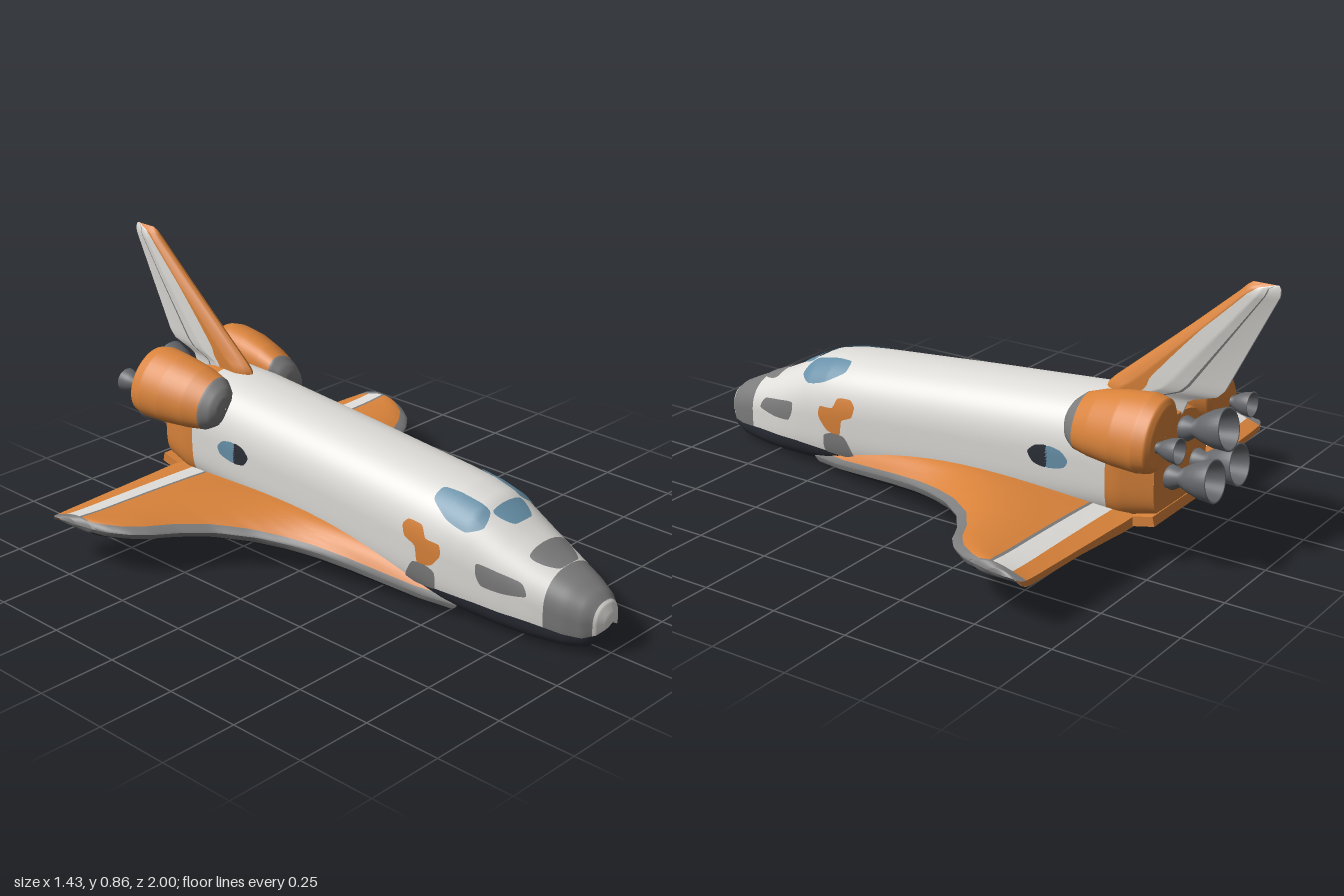
import * as THREE from 'three';

const mat = (name, color) => {
  const m = new THREE.MeshStandardMaterial({ color, side: THREE.DoubleSide });
  m.name = name;
  return m;
};
const lerp = THREE.MathUtils.lerp;

// Interpolates a table whose first column rises
function row(table, k) {
  let i = 0;
  while (i < table.length - 2 && k > table[i + 1][0]) i++;
  const a = table[i], b = table[i + 1];
  const t = THREE.MathUtils.clamp((k - a[0]) / (b[0] - a[0]), 0, 1);
  return a.map((v, j) => lerp(v, b[j], t));
}

// A surface from a rule f(u, v) -> [x, y, z]
function surface(name, material, nu, nv, f) {
  const g = new THREE.PlaneGeometry(1, 1, nu, nv), p = g.attributes.position;
  for (let i = 0; i < p.count; i++) p.setXYZ(i, ...f(p.getX(i) + 0.5, p.getY(i) + 0.5));
  g.computeVertexNormals();
  const m = new THREE.Mesh(g, material);
  m.name = name;
  return m;
}

// Hull sections: z, half width, bottom, belly edge, widest height, top
const HULL = [
  [-0.71, 0.155, 0.13, 0.135, 0.27, 0.43], [-0.6, 0.178, 0.105, 0.115, 0.28, 0.462],
  [-0.45, 0.178, 0.092, 0.11, 0.27, 0.458], [0, 0.178, 0.06, 0.085, 0.24, 0.422],
  [0.4, 0.178, 0.025, 0.08, 0.205, 0.387], [0.5, 0.176, 0.016, 0.085, 0.19, 0.376],
  [0.58, 0.168, 0.01, 0.085, 0.18, 0.358], [0.62, 0.163, 0.008, 0.085, 0.17, 0.335],
  [0.7, 0.15, 0.004, 0.08, 0.15, 0.292], [0.8, 0.128, 0.002, 0.075, 0.13, 0.245],
  [0.9, 0.1, 0.008, 0.062, 0.11, 0.203], [0.95, 0.078, 0.02, 0.06, 0.1, 0.178],
  [0.98, 0.052, 0.045, 0.07, 0.1, 0.153], [0.995, 0.025, 0.075, 0.085, 0.1, 0.125],
  [1, 0.002, 0.098, 0.099, 0.1, 0.102],
];
const NT = 2.3, NB = 4; // roundness of the upper and lower halves
function hull(z, a) {
  const [, w, yb, , ym, yt] = row(HULL, z);
  const n = a < 0 || a > Math.PI ? NB : NT, c = Math.cos(a), s = Math.abs(Math.sin(a));
  return [w * Math.sign(c) * Math.abs(c) ** (2 / n), ym + ((n === NB ? yb : yt) - ym) * s ** (2 / n), z];
}
function bellyAngle(z) {
  const [, , yb, yc, ym] = row(HULL, z);
  return Math.asin(((ym - yc) / (ym - yb)) ** (NB / 2));
}
// Projections of plate outlines on to the hull, from the side and from above
function onSide(z, y) {
  const [, w, yb, , ym, yt] = row(HULL, z), n = y < ym ? NB : NT;
  const r = Math.min(1, (y - ym) / ((y < ym ? yb : yt) - ym));
  return [w * (1 - r ** n) ** (1 / n) + 0.004, y, z];
}
function onTop(x, z) {
  const [, w, , , ym, yt] = row(HULL, z), r = Math.min(1, Math.abs(x) / w);
  return [x, ym + (yt - ym) * (1 - r ** NT) ** (1 / NT) + 0.005, z];
}
function plate(name, material, pts, project) {
  const curve = new THREE.CatmullRomCurve3(pts.map(([a, b]) => new THREE.Vector3(a, b, 0)), true, 'catmullrom', 0.3);
  const ca = pts.reduce((s, p) => s + p[0], 0) / pts.length;
  const cb = pts.reduce((s, p) => s + p[1], 0) / pts.length;
  return surface(name, material, 40, 8, (u, v) => {
    const p = curve.getPoint(u % 1);
    return project(lerp(ca, p.x, v), lerp(cb, p.y, v));
  });
}

// Wing sections: x, leading z, trailing z, leading y, thickness factor
const WING = [
  [0.15, 0.55, -0.65, 0.045, 1], [0.178, 0.44, -0.65, 0.05, 1], [0.218, 0.2, -0.65, 0.075, 1],
  [0.245, 0.09, -0.648, 0.088, 1], [0.278, 0, -0.646, 0.098, 1], [0.33, -0.1, -0.644, 0.11, 1],
  [0.41, -0.2, -0.64, 0.122, 1], [0.5, -0.265, -0.636, 0.132, 1], [0.58, -0.305, -0.632, 0.14, 1],
  [0.63, -0.345, -0.63, 0.145, 1], [0.67, -0.4, -0.627, 0.148, 1], [0.69, -0.45, -0.625, 0.15, 0.9],
  [0.705, -0.51, -0.62, 0.152, 0.6], [0.713, -0.57, -0.61, 0.153, 0.05],
];
function wing(x, z, top) {
  const [, le, te, yl, k] = row(WING, x), t = THREE.MathUtils.clamp((le - z) / (le - te), 0, 1);
  const yTop = lerp(yl, 0.142, t) + (0.172 - (yl + 0.142) / 2) * Math.sin(Math.PI * t ** 0.75);
  const base = 0.058 - z * 0.08 + (x - 0.178) * 0.05;
  const yBot = Math.min(base + (yl - base) * Math.exp(-(le - z) / 0.025), yTop - 0.02 * Math.min(1, t * 8));
  return [x, 0.15 + ((top ? yTop : yBot) - 0.15) * k, z];
}
function wingStrip(name, material, top, x0, x1, za, zb) {
  return surface(name, material, 40, 14, (u, v) => {
    const x = lerp(x0, x1, top ? u : 1 - u), [, le, te] = row(WING, x);
    return wing(x, lerp(za(le, te), zb(le, te), v), top);
  });
}

// Fin sections: y, leading z, trailing z, half thickness, edge band share
const FIN = [
  [0.42, -0.45, -0.71, 0.03, 0.5], [0.47, -0.46, -0.73, 0.03, 0.45], [0.495, -0.485, -0.82, 0.03, 0.36],
  [0.52, -0.515, -0.845, 0.03, 0.3], [0.7, -0.73, -0.935, 0.026, 0.22], [0.83, -0.88, -1, 0.02, 0.25],
  [0.85, -0.9, -1, 0.014, 0.4], [0.86, -0.915, -0.995, 0.001, 0.9],
];
function finStrip(name, material, ta, tb) {
  return surface(name, material, 14, 40, (u, v) => {
    const y = lerp(0.42, 0.86, v), [, le, te, th, band] = row(FIN, y);
    const t = lerp(ta(band), tb(band), u);
    return [th * Math.min(1, Math.sqrt(t / 0.2)) * (t > 0.5 ? 1 - (t - 0.5) * 1.7 : 1), y, lerp(le, te, t)];
  });
}

// Pod sections: -z, centre x, centre y, long radius, short radius
const POD = [
  [0.42, 0.155, 0.395, 0.002, 0.002], [0.425, 0.155, 0.395, 0.04, 0.03], [0.44, 0.156, 0.396, 0.065, 0.046],
  [0.47, 0.158, 0.4, 0.088, 0.06], [0.53, 0.167, 0.408, 0.103, 0.072], [0.62, 0.178, 0.416, 0.115, 0.083],
  [0.7, 0.182, 0.42, 0.12, 0.086], [0.74, 0.183, 0.42, 0.112, 0.08], [0.755, 0.183, 0.42, 0.09, 0.06],
  [0.757, 0.183, 0.42, 0.001, 0.001],
];
const podStrip = (name, material, d0, d1, n) => surface(name, material, 40, n, (u, v) => {
  const d = lerp(d0, d1, v), [, cx, cy, a, b] = row(POD, d), q = -u * Math.PI * 2;
  const p = a * Math.cos(q), s = b * Math.sin(q);
  return [cx + 0.6 * p + 0.8 * s, cy - 0.8 * p + 0.6 * s, -d];
});

const BELL = [[0, 0], [0.03, 0], [0.038, 0.03], [0.026, 0.055], [0.042, 0.085], [0.056, 0.12], [0.065, 0.165],
  [0.058, 0.165], [0.045, 0.11], [0.02, 0.07], [0, 0.065]];
function nozzle(name, material, x, y, z, size, tilt) {
  const m = new THREE.Mesh(new THREE.LatheGeometry(BELL.map(([r, h]) => new THREE.Vector2(r * size, h * size)), 32), material);
  m.position.set(x, y, z);
  m.rotation.x = -Math.PI / 2 + tilt;
  m.name = name;
  return m;
}

export function createModel() {
  const white = mat('white shell', 0xdfddd9), orange = mat('orange panels', 0xd8823a);
  const grey = mat('grey edges', 0x7c7c7c), dark = mat('dark belly', 0x2c2f38);
  const blue = mat('blue glass', 0x6790a8), metal = mat('nozzle metal', 0x64666a);
  const model = new THREE.Group();

  // Hull in bands along its length, and the belly below them
  const shell = (name, m, z0, z1, n) => surface(name, m, 72, n, (u, v) => {
    const z = lerp(z0, z1, v), a = bellyAngle(z);
    return hull(z, lerp(-a, Math.PI + a, u));
  });
  model.add(
    shell('aftHull', orange, -0.71, -0.56, 8), shell('midHull', white, -0.56, 0.84, 90),
    shell('noseHull', grey, 0.84, 0.972, 12), shell('noseCap', white, 0.972, 1, 14),
    surface('belly', dark, 32, 140, (u, v) => {
      const z = lerp(-0.71, 1, v), a = bellyAngle(z);
      return hull(z, lerp(-Math.PI + a, -a, u));
    }),
    surface('aftBulkhead', orange, 64, 4, (u, v) => {
      const p = hull(-0.71, -Math.PI / 2 + u * Math.PI * 2);
      return [p[0] * v, lerp(0.28, p[1], v), -0.71 - 0.01 * (1 - v)];
    }),
  );

  // Body flap under the nozzles
  const flap = new THREE.Mesh(new THREE.BoxGeometry(0.33, 0.03, 0.12), orange);
  flap.position.set(0, 0.13, -0.66);
  flap.rotation.x = 0.22;
  flap.name = 'bodyFlap';
  model.add(flap);

  // Plates on the centre line
  model.add(
    plate('frontWindow', blue, [[-0.06, 0.605], [0.06, 0.605], [0.058, 0.64], [0.035, 0.67], [-0.035, 0.67], [-0.058, 0.64]], onTop),
    plate('nosePanel', grey, [[-0.075, 0.755], [0.075, 0.755], [0.07, 0.8], [0.04, 0.84], [-0.04, 0.84], [-0.07, 0.8]], onTop),
  );

  // Everything that comes in pairs
  for (const side of [1, -1]) {
    const half = new THREE.Group();
    half.name = side > 0 ? 'leftSide' : 'rightSide';
    half.scale.x = side;

    // Wing: upper bands, lower bands, trailing edge and tip
    const LE = (le) => le, TE = (le, te) => te, at = (z) => () => z, X0 = 0.15, X1 = 0.685;
    const edge = (le) => le - 0.035, lip = (le) => le - 0.02;
    half.add(
      wingStrip('wingLeadingEdge', grey, true, X0, X1, LE, edge),
      wingStrip('wingTop', orange, true, X0, X1, edge, at(-0.505)),
      wingStrip('wingHinge', grey, true, X0, X1, at(-0.505), at(-0.516)),
      wingStrip('wingStripe', white, true, X0, X1, at(-0.516), at(-0.58)),
      wingStrip('elevonTop', orange, true, X0, X1, at(-0.58), TE),
      wingStrip('wingLowerLip', grey, false, X0, X1, LE, lip),
      wingStrip('wingUnderside', dark, false, X0, X1, lip, at(-0.585)),
      wingStrip('elevonLowerStripe', white, false, 0.36, X1, at(-0.585), at(-0.612)),
      wingStrip('elevonLowerRoot', dark, false, X0, 0.36, at(-0.585), at(-0.612)),
      wingStrip('elevonUnderside', orange, false, X0, X1, at(-0.612), TE),
      wingStrip('wingTipTop', grey, true, X1, 0.713, LE, TE),
      wingStrip('wingTipUnderside', grey, false, X1, 0.713, LE, TE),
      surface('wingTrailingEdge', orange, 40, 1, (u, v) => {
        const x = lerp(0.713, X0, u);
        return wing(x, row(WING, x)[2], v > 0.5);
      }),
    );

    // Fin half
    half.add(
      finStrip('finLeadingEdge', orange, () => 0, (b) => b),
      finStrip('finSide', white, (b) => b, (b) => Math.max(b, 0.66)),
      finStrip('rudderHinge', grey, (b) => Math.max(b, 0.66), (b) => Math.max(b, 0.69)),
      finStrip('rudder', white, (b) => Math.max(b, 0.69), () => 1),
      surface('finTrailingEdge', white, 1, 40, (u, v) => {
        const y = lerp(0.42, 0.86, v), [, , te, th] = row(FIN, y);
        return [th * 0.15 * (1 - u), y, te];
      }),
    );

    // Engine pod and nozzles
    half.add(
      podStrip('podNose', grey, 0.42, 0.475, 12), podStrip('pod', orange, 0.475, 0.757, 70),
      nozzle('podNozzle', metal, 0.22, 0.4, -0.725, 0.6, 0.05),
      nozzle('lowerNozzle', metal, 0.075, 0.25, -0.7, 1, 0.14),
    );

    // Windows, hatch and panels
    half.add(
      plate('sideWindow', blue, [[0.07, 0.6], [0.075, 0.5], [0.085, 0.44], [0.125, 0.435], [0.148, 0.5], [0.145, 0.575], [0.115, 0.615]], onTop),
      plate('sideHatch', orange, [[0.36, 0.26], [0.38, 0.28], [0.43, 0.275], [0.45, 0.24], [0.5, 0.235], [0.505, 0.2], [0.47, 0.16], [0.42, 0.155], [0.41, 0.205], [0.37, 0.225]], onSide),
      plate('lowerPanel', grey, [[0.37, 0.085], [0.48, 0.085], [0.485, 0.14], [0.45, 0.155], [0.4, 0.15]], onSide),
      plate('thrusterPanel', grey, [[0.63, 0.18], [0.63, 0.215], [0.7, 0.205], [0.77, 0.19], [0.79, 0.155], [0.72, 0.145], [0.65, 0.15]], onSide),
      plate('aftWindow', blue, [[-0.36, 0.235], [-0.42, 0.245], [-0.435, 0.27], [-0.41, 0.295], [-0.36, 0.3]], onSide),
      plate('aftWindowShade', dark, [[-0.36, 0.235], [-0.36, 0.3], [-0.32, 0.295], [-0.295, 0.27], [-0.315, 0.24]], onSide),
    );
    model.add(half);
  }
  model.add(nozzle('upperNozzle', metal, 0, 0.375, -0.7, 1, 0.2));
  return model;
}
